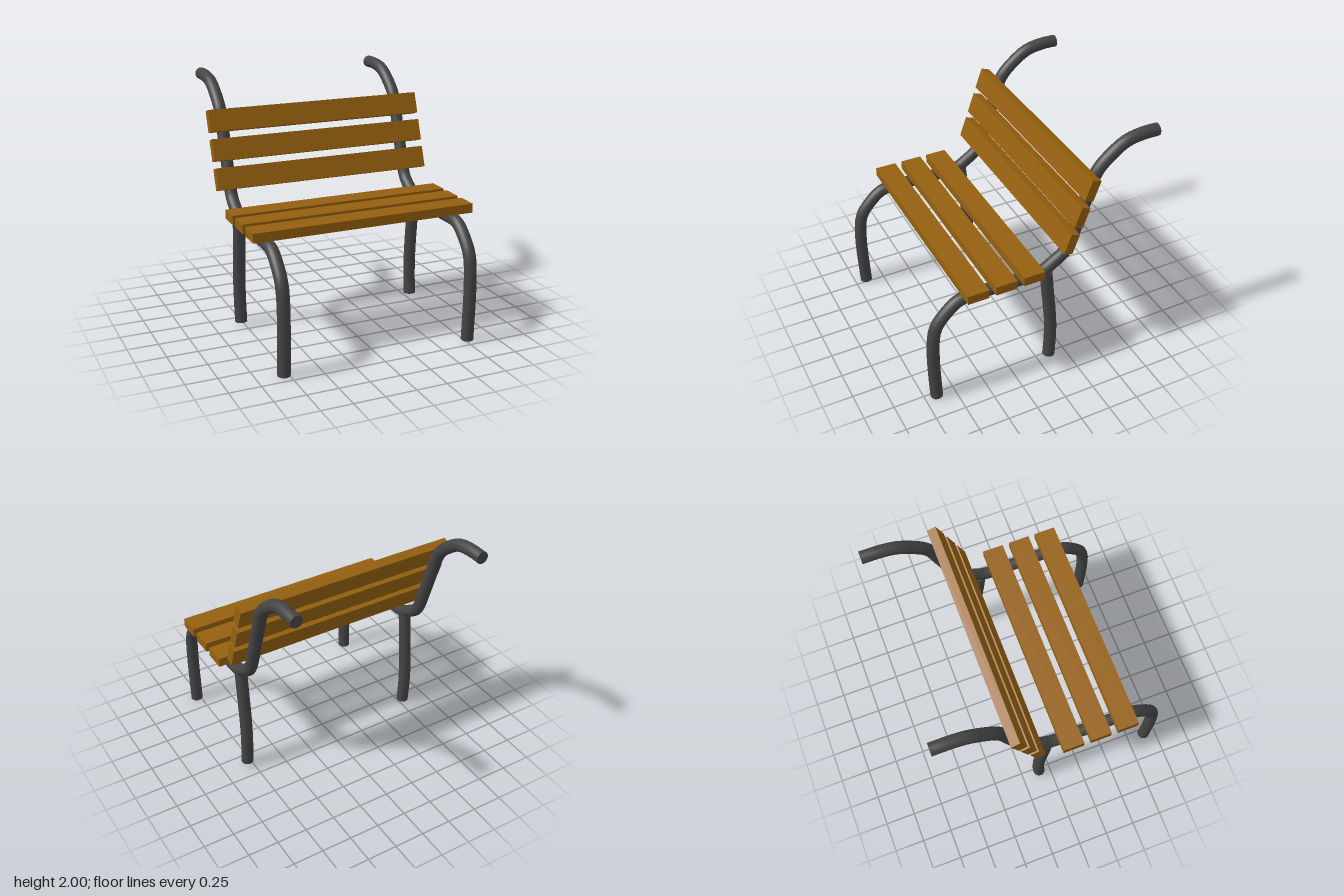
import * as THREE from 'three';

const RADIUS = 0.05;
const CENTRE_X = -0.003;

// Pipe centre lines as [z, y]
const FRAME = [
  [0.9, 0], [0.91, 0.25], [0.913, 0.42], [0.905, 0.6], [0.885, 0.7], [0.845, 0.77],
  [0.725, 0.89], [0.66, 0.92], [0.58, 0.924], [0.3, 0.922], [0.06, 0.922], [-0.02, 0.934],
  [-0.1, 0.98], [-0.205, 1.055], [-0.245, 1.125], [-0.3, 1.285], [-0.38, 1.53], [-0.435, 1.695],
  [-0.475, 1.76], [-0.575, 1.852], [-0.69, 1.925], [-0.83, 1.951], [-0.955, 1.951],
];
const REAR_LEG = [[-0.05, 0.92], [-0.073, 0.7], [-0.095, 0.5], [-0.106, 0.35], [-0.107, 0.2], [-0.098, 0.03]];

export function createModel() {
  const model = new THREE.Group();
  model.name = 'bench';
  const metal = new THREE.MeshStandardMaterial({ color: 0x444444 });
  const wood = new THREE.MeshStandardMaterial({ color: 0x95600f });

  // Round pipe with flat caps on both ends
  function pipe(name, points, segments, lean = 0) {
    const group = new THREE.Group();
    group.name = name;
    const last = points.length - 1;
    const curve = new THREE.CatmullRomCurve3(
      points.map(([z, y], i) => new THREE.Vector3(lean * i / last, y, z)));
    const tube = new THREE.Mesh(new THREE.TubeGeometry(curve, segments, RADIUS, 20), metal);
    tube.name = name + 'Pipe';
    group.add(tube);
    for (const t of [0, 1]) {
      const cap = new THREE.Mesh(new THREE.CircleGeometry(RADIUS, 20), metal);
      cap.name = name + 'Cap';
      const p = curve.getPointAt(t);
      cap.position.copy(p);
      cap.lookAt(p.clone().addScaledVector(curve.getTangentAt(t), t ? 1 : -1));
      group.add(cap);
    }
    return group;
  }

  // Side frames: front leg, seat rail and back post in one pipe, plus a rear leg
  for (const [side, x] of [['left', 0.777], ['right', -0.788]]) {
    const frame = new THREE.Group();
    frame.name = side + 'Frame';
    frame.add(pipe(side + 'Rail', FRAME, 72), pipe(side + 'RearLeg', REAR_LEG, 16, 0.01));
    frame.position.x = x;
    model.add(frame);
  }

  // Wooden slats
  function slat(name, y, z, tilt) {
    const mesh = new THREE.Mesh(new THREE.BoxGeometry(1.843, 0.075, 0.175), wood);
    mesh.name = name;
    mesh.position.set(CENTRE_X, y, z);
    mesh.rotation.x = tilt;
    model.add(mesh);
  }
  for (let i = 0; i < 3; i++) {
    slat('seatSlat' + (i + 1), 1.012, 0.588 - 0.2325 * i, 0);
    slat('backSlat' + (i + 1), 1.232 + 0.22 * i, -0.185 - 0.077 * i, THREE.MathUtils.degToRad(70.5));
  }
  return model;
}
